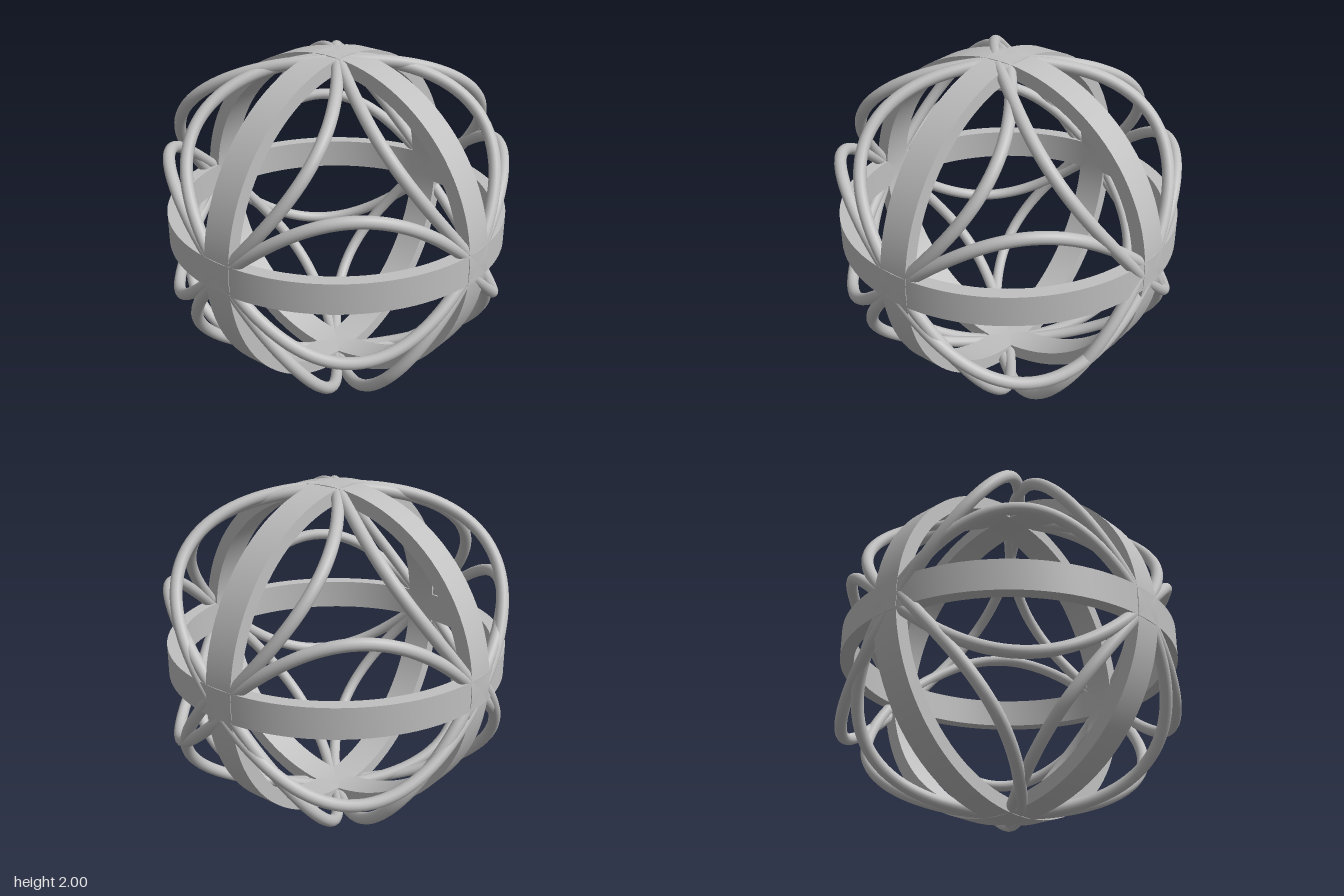
import * as THREE from 'three';
import { toCreasedNormals } from 'three/addons/utils/BufferGeometryUtils.js';

const BAND_OUTER = 1, BAND_INNER = 0.92, BAND_HALF = 0.09;
const ARC_RADIUS = 0.965, ARC_BULGE = 0.42, ROD = 0.035;

// Curved rod running a quarter turn from axis u to axis v, swelling sideways along w
class PetalCurve extends THREE.Curve {
  constructor(u, v, w, shift) {
    super();
    Object.assign(this, { u, v, w, shift });
  }
  getPoint(t, target = new THREE.Vector3()) {
    const a = t * Math.PI / 2;
    return target.set(0, 0, 0)
      .addScaledVector(this.u, ARC_RADIUS * Math.cos(a))
      .addScaledVector(this.v, ARC_RADIUS * Math.sin(a))
      .addScaledVector(this.w, ARC_BULGE * Math.sin(2 * a) + this.shift);
  }
}

const axisVector = (axis, sign) => new THREE.Vector3().setComponent(axis, sign);

export function createModel() {
  const model = new THREE.Group();
  model.name = 'openworkSphere';
  const metal = new THREE.MeshStandardMaterial({ color: 0xc0c0c0 });
  metal.name = 'light grey';
  const rodMetal = metal;

  const sphere = new THREE.Group();
  sphere.name = 'sphere';
  sphere.position.y = 1;
  model.add(sphere);

  // Three flat bands, one around each axis
  const profile = [
    [BAND_INNER, -BAND_HALF], [BAND_OUTER, -BAND_HALF],
    [BAND_OUTER, BAND_HALF], [BAND_INNER, BAND_HALF], [BAND_INNER, -BAND_HALF],
  ].map(([x, y]) => new THREE.Vector2(x, y));
  const bandGeometry = toCreasedNormals(new THREE.LatheGeometry(profile, 96), 0.6);
  const bands = [
    ['equatorBand', 0, 0],
    ['frontBand', Math.PI / 2, 0],
    ['sideBand', 0, Math.PI / 2],
  ];
  for (const [name, rx, rz] of bands) {
    const band = new THREE.Mesh(bandGeometry, metal);
    band.name = name;
    band.rotation.set(rx, 0, rz);
    sphere.add(band);
  }

  // Three half loops sit further out sideways: [end axis, end sign, bulge axis, bulge sign]
  const offsetLoops = [[0, 1, 1, -1], [0, 1, 2, 1], [2, -1, 0, -1]];
  const isOffset = (signs, w) => offsetLoops.some(
    ([end, endSign, bulge, bulgeSign]) =>
      w === bulge && signs[w] === bulgeSign && signs[end] === endSign);

  // Three petal rods in each of the eight octants
  const petals = new THREE.Group();
  petals.name = 'petalRods';
  sphere.add(petals);
  for (const sx of [1, -1]) for (const sy of [1, -1]) for (const sz of [1, -1]) {
    const signs = [sx, sy, sz];
    for (let w = 0; w < 3; w++) {
      const u = (w + 1) % 3, v = (w + 2) % 3;
      const curve = new PetalCurve(
        axisVector(u, signs[u]), axisVector(v, signs[v]), axisVector(w, signs[w]),
        isOffset(signs, w) ? BAND_HALF : 0);
      const rod = new THREE.Mesh(new THREE.TubeGeometry(curve, 40, ROD, 14), rodMetal);
      rod.name = 'petalRod';
      petals.add(rod);
    }
  }
  return model;
}
